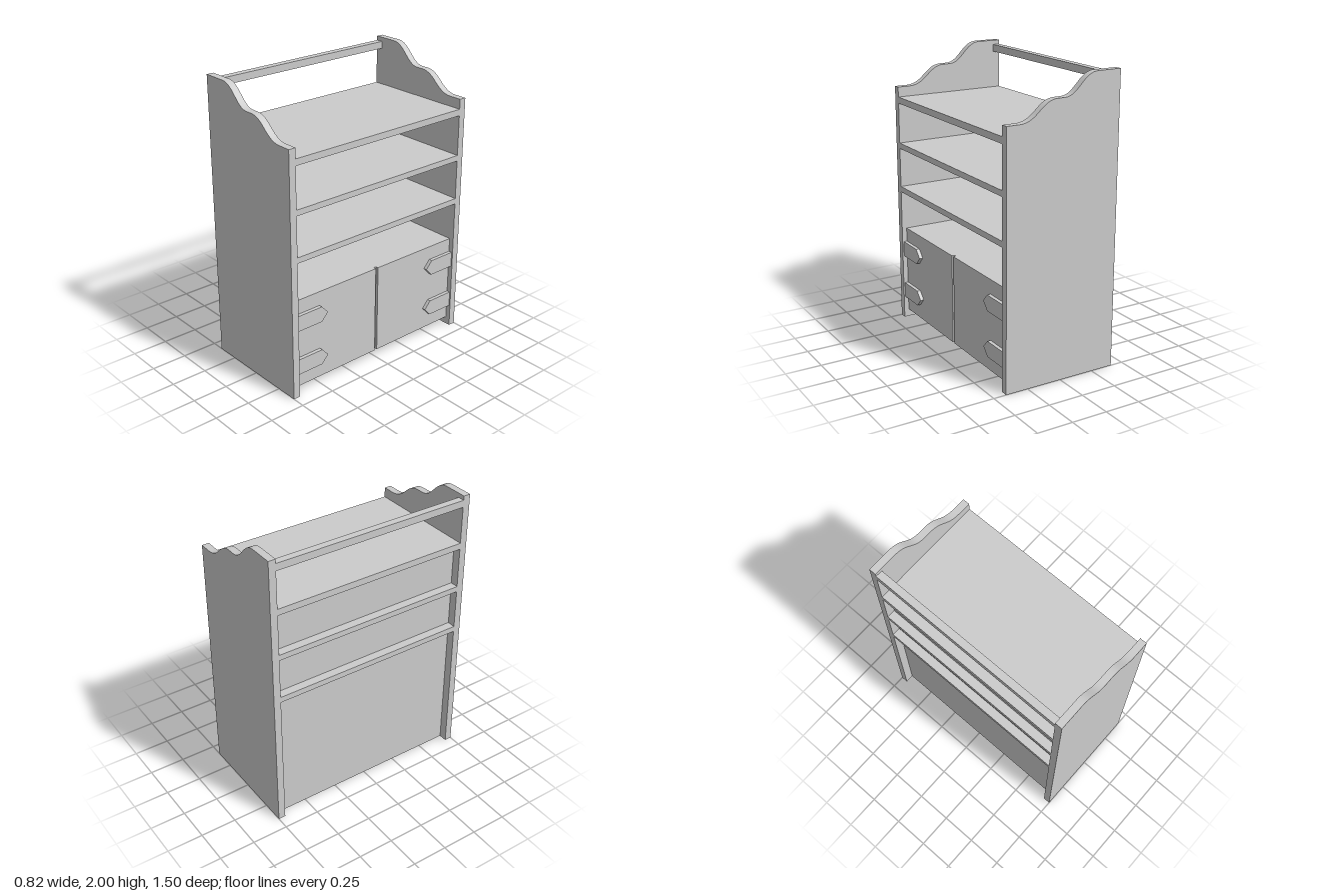
import * as THREE from 'three';
import { toCreasedNormals } from 'three/addons/utils/BufferGeometryUtils.js';

const material = new THREE.MeshStandardMaterial({ color: 0xcccccc });

export function createModel() {
  const model = new THREE.Group();
  model.name = 'shelfCabinet';

  const add = (name, geometry) => {
    const mesh = new THREE.Mesh(geometry, material);
    mesh.name = name;
    model.add(mesh);
    return mesh;
  };
  // Box given by its limits on each axis
  const box = (name, x0, x1, y0, y1, z0, z1) => {
    add(name, new THREE.BoxGeometry(x1 - x0, y1 - y0, z1 - z0))
      .position.set((x0 + x1) / 2, (y0 + y1) / 2, (z0 + z1) / 2);
  };

  const inner = 0.7; // half width between the side panels
  const half = 0.41; // half depth

  // Side panels with a wavy stepped top
  const side = new THREE.Shape();
  side.moveTo(-half, 0);
  side.lineTo(half, 0);
  side.lineTo(half, 1.73);
  side.lineTo(0.32, 1.73);
  side.bezierCurveTo(0.19, 1.73, 0.17, 1.86, 0.05, 1.86);
  side.lineTo(0, 1.86);
  side.bezierCurveTo(-0.1, 1.86, -0.13, 2, -0.24, 2);
  side.lineTo(-half, 2);
  side.closePath();
  const sideGeometry = toCreasedNormals(
    new THREE.ExtrudeGeometry(side, { depth: 0.05, bevelEnabled: false, curveSegments: 16 }), 0.5);
  add('rightSidePanel', sideGeometry).position.z = -inner - 0.05;
  add('leftSidePanel', sideGeometry).position.z = inner;

  // Open shelves and the rail along the top of the back
  for (const [bottom, top] of [[0.97, 1.01], [1.29, 1.33], [1.615, 1.66]]) {
    box('shelf', -half, half, bottom, top, -inner, inner);
  }
  box('topRail', -half, -0.36, 1.92, 1.97, -inner, inner);

  // Recessed back panel, reaching down to the floor
  box('backPanel', -0.35, -0.2, 0, 1.615, -inner, inner);

  // Lower cupboard body
  box('cupboard', -0.2, 0.355, 0.055, 0.69, -inner, inner);

  // Strap hinge outline, pointing towards the middle
  const strap = new THREE.Shape([
    [0, -0.055], [0.2, -0.055], [0.25, 0], [0.2, 0.055], [0, 0.055],
  ].map(([x, y]) => new THREE.Vector2(x, y)));
  const strapGeometry = new THREE.ExtrudeGeometry(strap, { depth: 0.025, bevelEnabled: false });
  strapGeometry.rotateY(Math.PI / 2); // outline now runs along -z, thickness along +x

  // Pair of doors, each with two strap hinges
  for (const s of [-1, 1]) {
    box('door', 0.355, 0.375, 0.055, 0.69, s > 0 ? 0.01 : -inner, s > 0 ? inner : -0.01);
    for (const y of [0.215, 0.535]) {
      const geometry = strapGeometry.clone();
      if (s < 0) geometry.rotateX(Math.PI);
      add('strapHinge', geometry).position.set(0.375, y, s * inner);
    }
  }

  return model;
}
